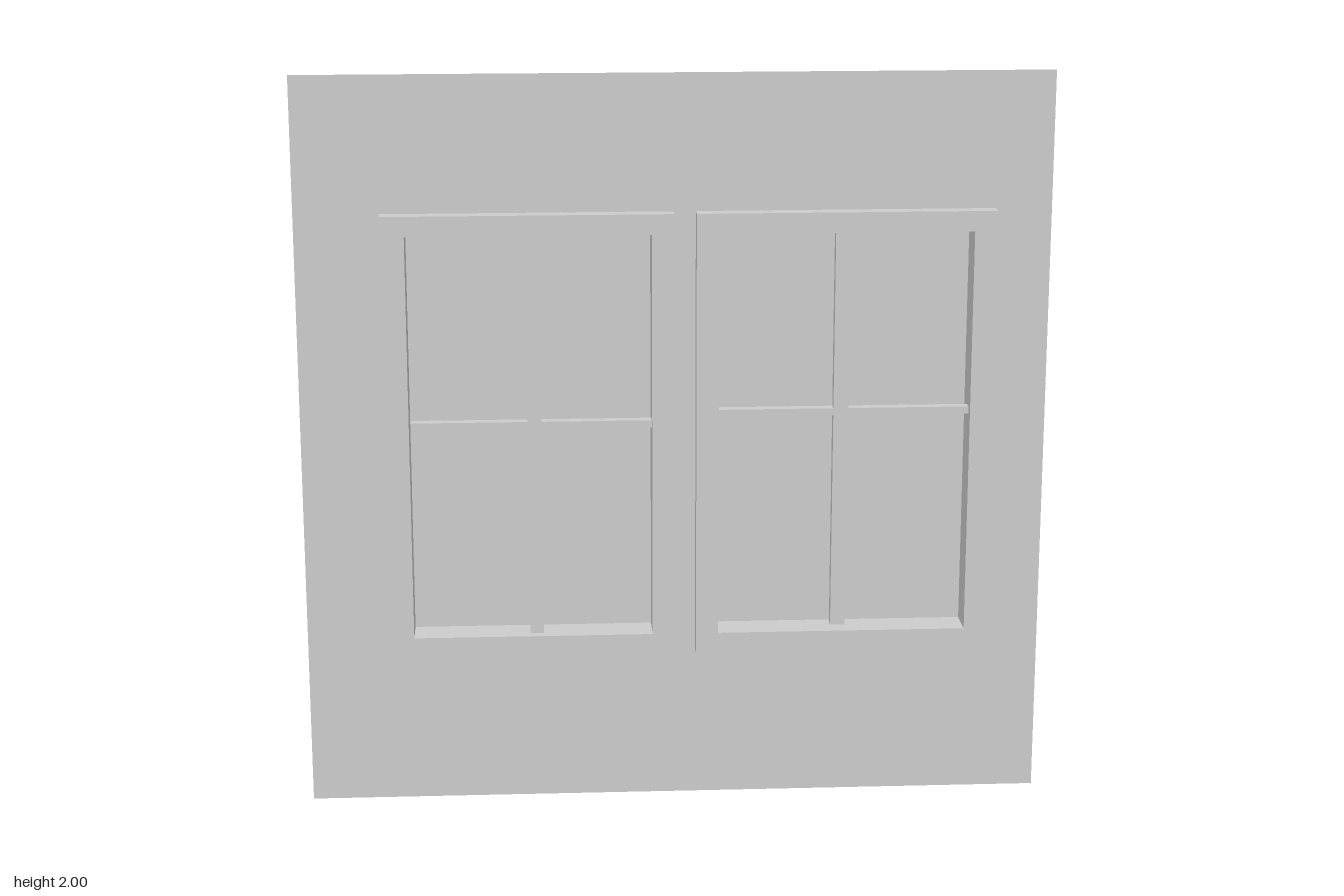
import * as THREE from 'three';

const material = new THREE.MeshStandardMaterial({
  color: 0xcccccc, flatShading: true, side: THREE.DoubleSide,
});

const WALL_Z = 0.006, FRONT_Z = 0.048, BACK_Z = -0.048;
const BAR_BACK = -0.007, BAR_DEPTH = 0.028;

// Rectangles are [x0, y0, x1, y1]
const windows = [
  {
    name: 'rightWindow',
    outer: [-0.775, 0.42, -0.003, 1.635], inner: [-0.71, 0.477, -0.063, 1.58],
    upright: [-0.395, 0.46, -0.358, 1.575], crossbar: [-0.705, 1.052, -0.05, 1.072],
  },
  {
    name: 'leftWindow',
    outer: [0.055, 0.42, 0.85, 1.635], inner: [0.115, 0.477, 0.79, 1.58],
    upright: [0.425, 0.485, 0.465, 1.61], crossbar: [0.09, 1.078, 0.797, 1.098],
  },
];

const corners = ([x0, y0, x1, y1]) => [[x0, y0], [x1, y0], [x1, y1], [x0, y1]];
const outline = (points, Type = THREE.Shape) =>
  new Type(points.map(([x, y]) => new THREE.Vector2(x, y)));

function addMesh(parent, name, geometry, z = 0) {
  const mesh = new THREE.Mesh(geometry, material);
  mesh.name = name;
  mesh.position.z = z;
  parent.add(mesh);
}

// Band of four quads joining one rectangle to the next
function band(rectA, zA, rectB, zB) {
  const a = corners(rectA), b = corners(rectB), pos = [];
  for (let i = 0; i < 4; i++) {
    const j = (i + 1) % 4;
    const a0 = [...a[i], zA], a1 = [...a[j], zA], b0 = [...b[i], zB], b1 = [...b[j], zB];
    pos.push(...a0, ...a1, ...b1, ...a0, ...b1, ...b0);
  }
  const geometry = new THREE.BufferGeometry();
  geometry.setAttribute('position', new THREE.Float32BufferAttribute(pos, 3));
  geometry.computeVertexNormals();
  return geometry;
}

// Plus-shaped outline of two crossing bars
function crossShape([ux0, uy0, ux1, uy1], [cx0, cy0, cx1, cy1]) {
  return outline([
    [ux0, uy0], [ux1, uy0], [ux1, cy0], [cx1, cy0], [cx1, cy1], [ux1, cy1],
    [ux1, uy1], [ux0, uy1], [ux0, cy1], [cx0, cy1], [cx0, cy0], [ux0, cy0],
  ]);
}

export function createModel() {
  const model = new THREE.Group();
  model.name = 'wallWithWindows';

  // Thin wall sheet with an opening for each window
  const wall = outline(corners([-1, 0, 1, 2]));
  wall.holes = windows.map((w) => outline(corners(w.outer), THREE.Path));
  addMesh(model, 'wall', new THREE.ShapeGeometry(wall), WALL_Z);

  for (const w of windows) {
    const group = new THREE.Group();
    group.name = w.name;
    model.add(group);

    // Raised hollow frame, then the deep recess ending in the pane
    addMesh(group, 'frameEdge', band(w.outer, WALL_Z, w.outer, FRONT_Z));
    addMesh(group, 'frameFace', band(w.outer, FRONT_Z, w.inner, FRONT_Z));
    addMesh(group, 'recessSides', band(w.inner, FRONT_Z, w.inner, BACK_Z));
    addMesh(group, 'pane', new THREE.ShapeGeometry(outline(corners(w.inner))), BACK_Z);

    // Glazing bars, some ends poking through the recess sides
    const bars = new THREE.ExtrudeGeometry(crossShape(w.upright, w.crossbar),
      { depth: BAR_DEPTH, bevelEnabled: false });
    addMesh(group, 'glazingBars', bars, BAR_BACK);
  }
  return model;
}
